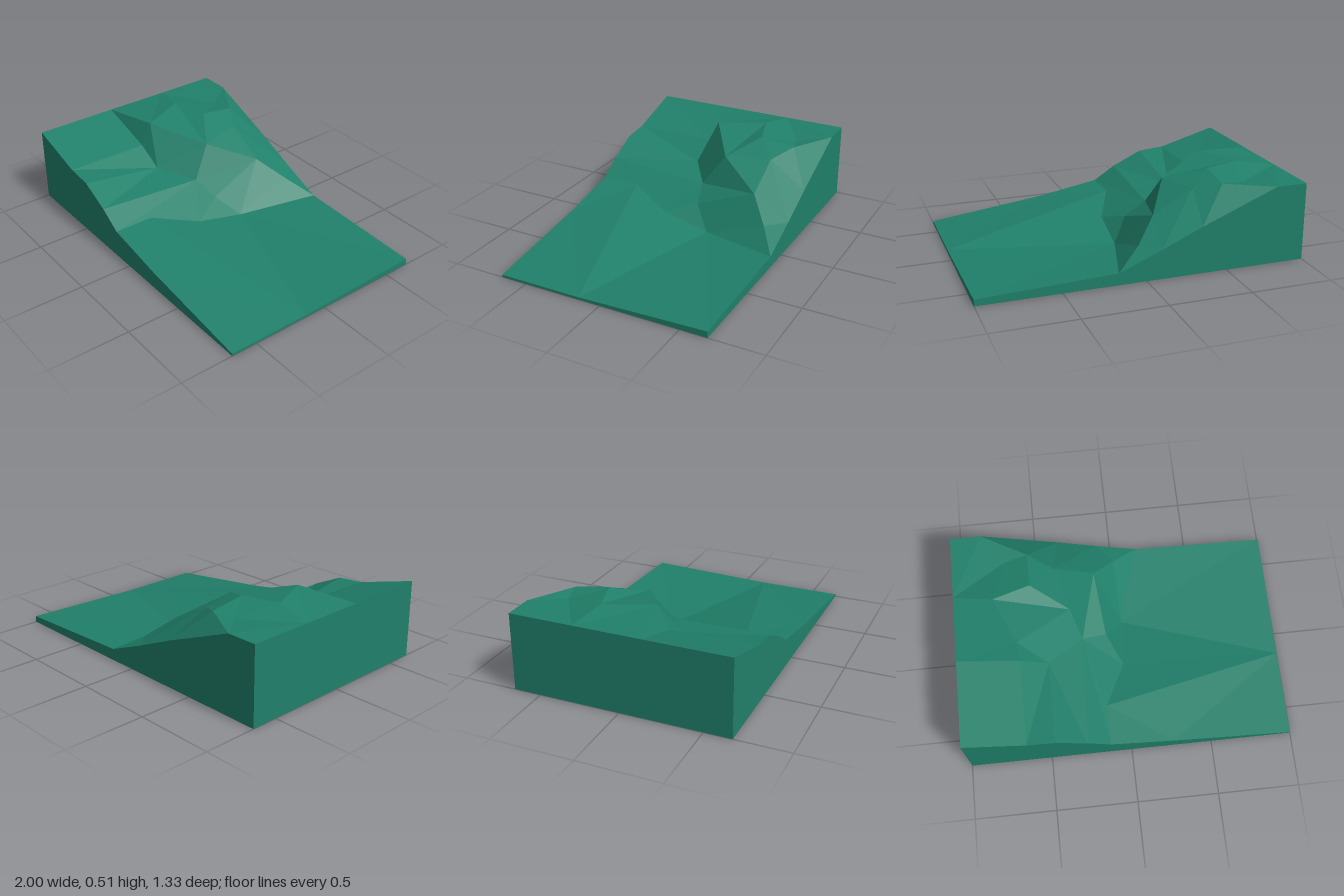
import * as THREE from 'three';

const D = 0.667; // half depth

// Terrain points, grouped by the line they lie on: x, height, z
const P = {};
const line = (key, pts) => pts.forEach((p, i) => { P[key + i] = new THREE.Vector3(...p); });
// front edge
line('f', [[-1, 0.48], [-0.63, 0.375], [-0.46, 0.36], [-0.27, 0.27], [-0.13, 0.18], [0.26, 0.11], [1, 0.015]]
  .map(([x, y]) => [x, y, D]));
// back edge
line('b', [[-1, 0.48], [-0.81, 0.48], [-0.34, 0.29], [-0.09, 0.18], [0.17, 0.073], [1, 0.04]]
  .map(([x, y]) => [x, y, -D]));
// foot of the cliff
line('a', [[-1, 0.48, 0.14], [-0.63, 0.37, 0.14], [-0.46, 0.28, 0.14], [-0.24, 0.24, -0.01],
  [-0.09, 0.17, -0.05], [0.02, 0.045, -0.17]]);
// ridge along the top of the cliff
line('r', [[-0.63, 0.51, 0.07], [-0.3, 0.43, -0.14], [-0.13, 0.3, -0.42], [0.01, 0.175, -0.55]]);
// plateau
line('p', [[-0.76, 0.515, -0.22], [-0.53, 0.51, -0.29], [-0.38, 0.435, -0.42], [-0.53, 0.48, -0.51], [-0.67, 0.465, -0.48]]);
// low ground, right edge, left edge
line('m', [[-0.13, 0.18, 0.42], [0, 0.108, 0.14], [1, 0.015, 0.14], [-1, 0.48, -0.27]]);

// Each fan is a centre followed by the points around it
const lowland = [
  'a1 a0 f0 f1 a2', 'a2 f1 f2 f3 a3', 'a3 f3 f4 m0 m1 a4',
  'm0 f4 f5 m2 m1', 'f5 f6 m2', 'a5 a4 m1 m2 b5 b4',
];
const cliff = ['r0 a0 a1 a2 r1', 'a3 a2 r1 r2 a4', 'a5 a4 r2 r3 b4'];
const plateau = [
  'm3 a0 r0 p0 p4 b1 b0', 'p0 r0 r1 p1 p4', 'p1 r1 p2 p3 p4', 'p2 r1 r2 b3 b2 p3',
  'p3 p4 b1 b2', 'r3 r2 b3 b4',
];

function meshFrom(name, verts, material) {
  const g = new THREE.BufferGeometry().setFromPoints(verts);
  g.computeVertexNormals();
  const mesh = new THREE.Mesh(g, material);
  mesh.name = name;
  return mesh;
}

// Turn fans into triangles that all face up
function fanMesh(name, fans, material) {
  const out = [];
  for (const fan of fans) {
    const [c, ...ring] = fan.split(' ').map((k) => P[k]);
    for (let i = 0; i + 1 < ring.length; i++) {
      const u = ring[i].clone().sub(c), v = ring[i + 1].clone().sub(c);
      out.push(c, ...(u.cross(v).y > 0 ? [ring[i], ring[i + 1]] : [ring[i + 1], ring[i]]));
    }
  }
  return meshFrom(name, out, material);
}

// Vertical walls from the outline down to the ground
function wallMesh(name, material) {
  const loop = 'f0 f1 f2 f3 f4 f5 f6 m2 b5 b4 b3 b2 b1 b0 m3 a0'.split(' ').map((k) => P[k]);
  const out = [];
  loop.forEach((p, i) => {
    const q = loop[(i + 1) % loop.length];
    const p0 = p.clone().setY(0), q0 = q.clone().setY(0);
    out.push(p0, q0, q, p0, q, p);
  });
  return meshFrom(name, out, material);
}

export function createModel() {
  const group = new THREE.Group();
  group.name = 'terrain';
  const green = new THREE.MeshStandardMaterial({ color: 0x20806a, flatShading: true });
  const olive = new THREE.MeshStandardMaterial({ color: 0x6b6820, flatShading: true });
  group.add(
    fanMesh('lowland', lowland, green),
    fanMesh('cliff', cliff, green),
    fanMesh('plateau', plateau, green),
    wallMesh('sideWalls', green),
  );
  // underside
  const base = new THREE.Mesh(new THREE.PlaneGeometry(2, 2 * D).rotateX(Math.PI / 2), olive);
  base.name = 'base';
  group.add(base);
  return group;
}
